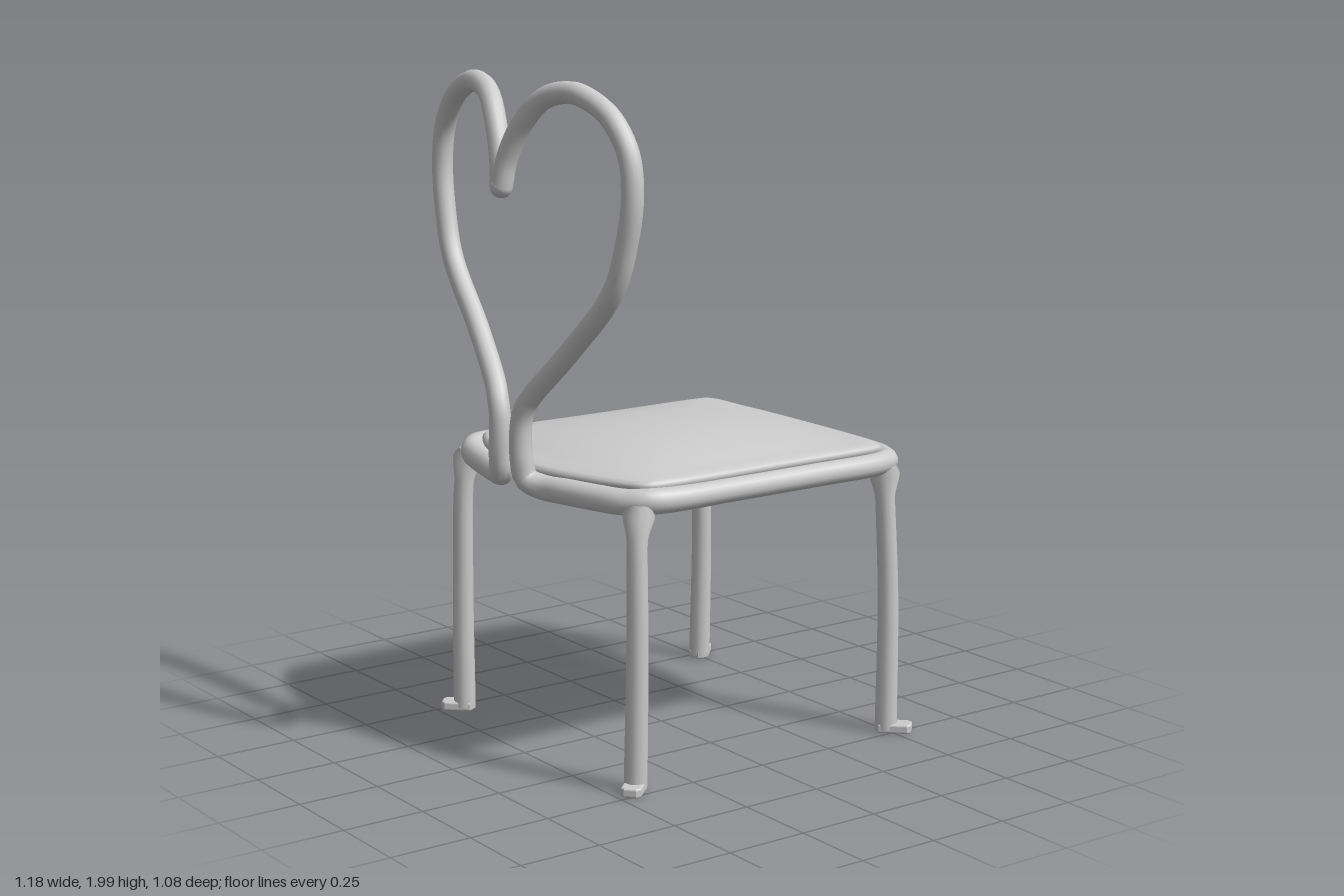
import * as THREE from 'three';

const material = new THREE.MeshStandardMaterial({ color: 0xcccccc, side: THREE.DoubleSide });
const V = (p) => new THREE.Vector3(...p);
const { smoothstep } = THREE.MathUtils;

function add(parent, geometry, name) {
  const mesh = new THREE.Mesh(geometry, material);
  mesh.name = name;
  parent.add(mesh);
  return mesh;
}

// Round tube along smooth points, its radius set by t (0..1 along the length).
function bentTube(points, radiusAt, segments, sides = 14) {
  const curve = new THREE.CatmullRomCurve3(points.map(V), false, 'centripetal');
  const geometry = new THREE.TubeGeometry(curve, segments, 1, sides, false);
  const pos = geometry.attributes.position;
  const v = new THREE.Vector3();
  for (let i = 0; i <= segments; i++) {
    const t = i / segments;
    const centre = curve.getPointAt(t);
    for (let j = 0; j <= sides; j++) {
      const k = i * (sides + 1) + j;
      v.fromBufferAttribute(pos, k).sub(centre).multiplyScalar(radiusAt(t)).add(centre);
      pos.setXYZ(k, v.x, v.y, v.z);
    }
  }
  return geometry;
}

// Pillow-shaped cushion: scaled rings of one rounded outline, raised towards the middle.
function cushionGeometry() {
  const half = [[0.513, 0], [0.513, 0.2], [0.512, 0.40], [0.497, 0.434], [0.45, 0.439], [0.1, 0.439],
    [-0.3, 0.439], [-0.36, 0.425], [-0.4, 0.37], [-0.44, 0.28], [-0.475, 0.17], [-0.495, 0.08], [-0.5, 0]];
  const mirrored = half.slice(1, -1).reverse().map(([x, z]) => [x, -z]);
  const outline = new THREE.CatmullRomCurve3(
    [...half, ...mirrored].map(([x, z]) => V([x, 0, z])), true, 'centripetal').getSpacedPoints(96);
  const crown = (x, z, s) => 0.056 * Math.max(0, 1 - (x / 0.51) ** 2) * Math.max(0, 1 - (z / 0.44) ** 2) * (1 - s ** 8);
  // [outline scale, height] from the underside centre, round the rim and over the top
  const rings = [[0, 0.85], [0.96, 0.85], [0.99, 0.855], [1, 0.866], [0.995, 0.876], [0.975, 0.884]];
  const rim = rings.length - 1;
  for (let i = 1; i <= 14; i++) rings.push([0.975 * (1 - i / 14), 0.884]);
  const n = outline.length;
  const positions = [], index = [];
  rings.forEach(([s, y], r) => outline.forEach((p) => {
    const x = p.x * s, z = p.z * s;
    positions.push(x, r > rim ? y + crown(x, z, s / 0.975) : y, z);
  }));
  for (let r = 0; r < rings.length - 1; r++) {
    for (let i = 0; i < n - 1; i++) {
      const a = r * n + i, b = a + 1, c = a + n, d = c + 1;
      index.push(a, c, b, b, c, d);
    }
  }
  const geometry = new THREE.BufferGeometry();
  geometry.setAttribute('position', new THREE.Float32BufferAttribute(positions, 3));
  geometry.setIndex(index);
  geometry.computeVertexNormals();
  return geometry;
}

// Small slab foot, pointing along +x before it is turned.
function footGeometry(length) {
  const shape = new THREE.Shape();
  shape.moveTo(-0.02, -0.03);
  shape.lineTo(length - 0.012, -0.03);
  shape.lineTo(length, -0.018);
  shape.lineTo(length, 0.018);
  shape.lineTo(length - 0.012, 0.03);
  shape.lineTo(-0.02, 0.03);
  shape.lineTo(-0.034, 0);
  const geometry = new THREE.ExtrudeGeometry(shape, {
    depth: 0.016, bevelEnabled: true, bevelThickness: 0.006, bevelSize: 0.006, bevelOffset: -0.006, bevelSegments: 3,
  });
  return geometry.rotateX(-Math.PI / 2).translate(0, 0.006, 0);
}

export function createModel() {
  const model = new THREE.Group();
  model.name = 'heartBackChair';
  add(model, cushionGeometry(), 'seatCushion');

  for (const s of [1, -1]) {
    const side = s > 0 ? 'Left' : 'Right';

    // Half of the seat rail, from the middle of the front edge to the turn at the back
    const rail = [[0.551, 0], [0.55, 0.15], [0.544, 0.3], [0.532, 0.39], [0.502, 0.447], [0.44, 0.47],
      [0.2, 0.472], [-0.1, 0.472], [-0.29, 0.469], [-0.37, 0.45], [-0.415, 0.4], [-0.45, 0.31],
      [-0.48, 0.2], [-0.502, 0.11]].map(([x, z]) => [x, x < -0.4 ? 0.829 : 0.834, z * s]);
    // Half of the heart back, rising from the rail and curling over to the middle
    const heart = [[-0.526, 0.847, 0.066], [-0.536, 0.9, 0.057], [-0.536, 1.01, 0.056], [-0.532, 1.06, 0.072],
      [-0.522, 1.1, 0.1], [-0.49, 1.24, 0.24], [-0.466, 1.43, 0.418], [-0.457, 1.57, 0.47],
      [-0.452, 1.7, 0.49], [-0.452, 1.81, 0.472], [-0.46, 1.9, 0.405], [-0.473, 1.947, 0.32], [-0.486, 1.963, 0.24],
      [-0.508, 1.938, 0.14], [-0.532, 1.86, 0.065], [-0.55, 1.76, 0.016], [-0.558, 1.685, 0.003]]
      .map(([x, y, z]) => [x, y, z * s]);
    const radius = (t) => 0.035 + 0.003 * smoothstep(t, 0.3, 0.38) - 0.0065 * smoothstep(t, 0.44, 0.56);
    add(model, bentTube([...rail, ...heart], radius, 200), `frame${side}`);

    // Legs: flared into the rail, slightly bowed, each ending in an outward foot
    for (const leg of [
      { name: 'frontLeg', path: [[0.486, 0.825, 0.457], [0.489, 0.74, 0.459], [0.501, 0.42, 0.467], [0.497, 0.01, 0.472]], turn: Math.PI / 4, foot: 0.078 },
      { name: 'backLeg', path: [[-0.398, 0.825, 0.445], [-0.413, 0.74, 0.455], [-0.419, 0.42, 0.463], [-0.423, 0.01, 0.458]], turn: Math.PI * 0.77, foot: 0.07 },
    ]) {
      const group = new THREE.Group();
      group.name = leg.name + side;
      const path = leg.path.map(([x, y, z]) => [x, y, z * s]);
      const legRadius = (t) => 0.029 + 0.018 * (1 - smoothstep(t, 0.02, 0.13)) + 0.005 * t - 0.012 * (1 - smoothstep(t, 0, 0.03));
      add(group, bentTube(path, legRadius, 60, 12), 'leg');
      const foot = add(group, footGeometry(leg.foot), 'foot');
      foot.position.set(path[3][0], 0, path[3][2]);
      foot.rotation.y = -leg.turn * s;
      model.add(group);
    }
  }

  // Rounded tip where the two halves of the heart meet
  add(model, new THREE.SphereGeometry(0.033, 16, 12), 'heartTip').position.set(-0.558, 1.685, 0);
  return model;
}
